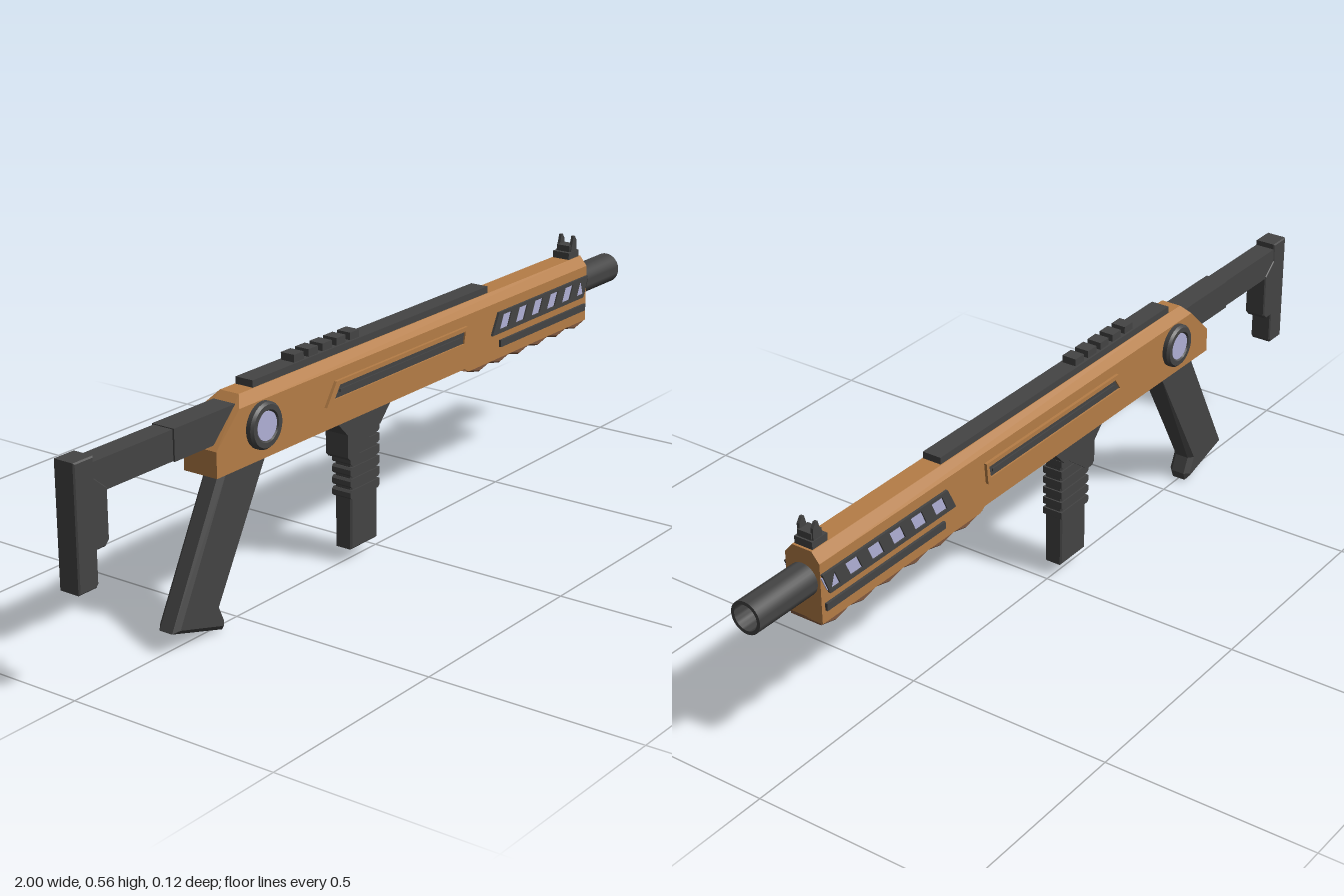
import * as THREE from 'three';
import { toCreasedNormals } from 'three/addons/utils/BufferGeometryUtils.js';

const mat = (name, color) => Object.assign(new THREE.MeshStandardMaterial({ color }), { name });

export function createModel() {
  const tan = mat('tan shell', 0xb57d46);
  const dark = mat('dark polymer', 0x444444);
  const glow = mat('pale lavender', 0xb0b0d6);
  const brown = mat('brown underside', 0x80583f);
  const model = new THREE.Group();
  model.name = 'model';

  const add = (name, geometry, material) => {
    const mesh = new THREE.Mesh(geometry, material);
    mesh.name = name;
    model.add(mesh);
    return mesh;
  };
  const shapeOf = pts => new THREE.Shape(pts.map(p => new THREE.Vector2(...p)));

  // Side profile extruded from z0 to z1, with optional chamfer and holes
  const slab = (name, pts, z0, z1, material, bevel = 0, holes = []) => {
    const shape = shapeOf(pts);
    shape.holes = holes.map(h => new THREE.Path(h.map(p => new THREE.Vector2(...p))));
    const g = new THREE.ExtrudeGeometry(shape, {
      depth: z1 - z0 - 2 * bevel, bevelEnabled: bevel > 0, bevelSegments: 1,
      bevelSize: bevel, bevelThickness: bevel, bevelOffset: -bevel,
    });
    return add(name, g.translate(0, 0, z0 + bevel), material);
  };
  const centred = (name, pts, half, material, bevel) => slab(name, pts, -half, half, material, bevel);
  const bothSides = (name, pts, z0, z1, material, holes) => {
    slab(name + 'Left', pts, z0, z1, material, 0, holes);
    slab(name + 'Right', pts, -z1, -z0, material, 0, holes);
  };
  const rect = (x0, x1, y0, y1) => [[x0, y0], [x1, y0], [x1, y1], [x0, y1]];

  // Profiles joined from one z to the next, with flat caps
  const loft = sections => {
    const v = [], n = sections[0][1].length;
    const at = (s, i) => [...sections[s][1][i % n], sections[s][0]];
    for (let s = 0; s < sections.length - 1; s++)
      for (let i = 0; i < n; i++)
        v.push(...at(s, i), ...at(s, i + 1), ...at(s + 1, i + 1),
          ...at(s, i), ...at(s + 1, i + 1), ...at(s + 1, i));
    const last = sections.length - 1;
    for (let i = 1; i < n - 1; i++) {
      v.push(...at(0, 0), ...at(0, i + 1), ...at(0, i));
      v.push(...at(last, 0), ...at(last, i), ...at(last, i + 1));
    }
    const g = new THREE.BufferGeometry();
    g.setAttribute('position', new THREE.Float32BufferAttribute(v, 3));
    g.computeVertexNormals();
    return g;
  };

  // Main shell: sloped rear, chamfered top edges
  const low = [[-0.605, 0.357], [0.83, 0.357], [0.83, 0.487], [-0.53, 0.487], [-0.605, 0.415]];
  const high = [[-0.605, 0.357], [0.83, 0.357], [0.83, 0.51], [-0.508, 0.51], [-0.605, 0.415]];
  add('body', loft([[-0.044, low], [-0.025, high], [0.025, high], [0.044, low]]), tan);
  centred('forendLip', [[0.31, 0.347], [0.83, 0.347], [0.83, 0.358], [0.29, 0.358]], 0.044, tan);

  // Wavy hand guard underside
  const wave = [[0.83, 0.35], [0.295, 0.35]];
  for (let i = 0; i <= 24; i++)
    wave.push([0.315 + i * 0.515 / 24, 0.338 + 0.005 * Math.cos(i * Math.PI / 2)]);
  centred('forendUnderside', wave, 0.043, brown, 0.004);

  // Barrel with open muzzle
  const lathe = (pts, seg) => toCreasedNormals(
    new THREE.LatheGeometry(pts.map(p => new THREE.Vector2(...p)), seg), 0.6);
  add('barrel', lathe([[0.037, 0.8], [0.037, 1], [0.029, 1], [0.029, 0.93], [0, 0.93]], 32)
    .rotateZ(-Math.PI / 2).translate(0, 0.438, 0), dark);

  // Top rail with raised teeth
  centred('topRail', rect(-0.46, 0.415, 0.505, 0.526), 0.023, dark);
  for (let i = 0; i < 5; i++) {
    const x = -0.315 + i * 0.0493;
    centred('railTooth', rect(x, x + 0.033, 0.524, 0.543), 0.018, dark);
  }

  // Front sight with two prongs
  centred('sightBase', rect(0.778, 0.824, 0.505, 0.527), 0.023, dark);
  centred('sightBlock', rect(0.788, 0.82, 0.525, 0.542), 0.018, dark);
  bothSides('sightProng', [[0.79, 0.525], [0.818, 0.525], [0.816, 0.553], [0.808, 0.565], [0.802, 0.565]],
    0.014, 0.021, dark);

  // Side pivots with pale centre discs
  for (const [side, s] of [['Left', 1], ['Right', -1]]) {
    const place = g => g.rotateX(s * Math.PI / 2).translate(-0.458, 0.433, 0);
    add('pivotRing' + side, place(lathe(
      [[0.052, 0.035], [0.052, 0.055], [0.047, 0.061], [0.036, 0.061], [0.033, 0.056], [0, 0.056]], 28)), dark);
    add('pivotDisc' + side, place(new THREE.CylinderGeometry(0.032, 0.032, 0.003, 28).translate(0, 0.057, 0)), glow);
  }

  // Middle side frame with a dark slot
  const slot = [[-0.218, 0.423], [0.278, 0.423], [0.284, 0.452], [-0.198, 0.452]];
  bothSides('sideFrame', [[-0.245, 0.411], [0.288, 0.411], [0.293, 0.462], [-0.21, 0.462]],
    0.043, 0.051, tan, [slot]);
  bothSides('sideSlot', slot, 0.043, 0.047, dark);
  bothSides('sideSlotRib', rect(-0.195, 0.27, 0.434, 0.441), 0.046, 0.05, dark);

  // Slanted vents over pale panels
  const vents = [];
  for (let i = 0; i < 6; i++) {
    const x = 0.43 + i * 0.0695;
    vents.push([[x, 0.42], [x + 0.036, 0.42], [x + 0.052, 0.455], [x + 0.016, 0.455]]);
  }
  bothSides('ventPanel', [[0.4, 0.411], [0.808, 0.411], [0.829, 0.463], [0.427, 0.463]], 0.043, 0.05, dark, vents);
  for (const v of vents) bothSides('ventGlow', v, 0.043, 0.0465, glow);
  bothSides('lowerBar', rect(0.437, 0.82, 0.375, 0.392), 0.043, 0.05, dark);

  // Stock: arm and stepped butt plate
  centred('stockArm', rect(-0.97, -0.45, 0.425, 0.492), 0.025, dark);
  centred('stockSleeve', rect(-0.715, -0.46, 0.424, 0.494), 0.029, dark);
  centred('buttPlate', [[-1, 0.232], [-0.95, 0.232], [-0.944, 0.24], [-0.944, 0.31], [-0.92, 0.31],
    [-0.909, 0.322], [-0.909, 0.43], [-0.945, 0.46], [-0.945, 0.505], [-1, 0.505]], 0.027, dark, 0.003);

  // Raked rear grip
  centred('rearGrip', [[-0.727, 0.048], [-0.569, 0.002], [-0.563, 0.022], [-0.58, 0.06],
    [-0.41, 0.37], [-0.56, 0.37]], 0.028, dark, 0.011);

  // Ribbed front grip and its mount
  centred('frontGripMount', [[-0.187, 0.358], [-0.144, 0.315], [-0.144, 0.262], [-0.135, 0.253],
    [-0.115, 0.253], [-0.04, 0.31], [-0.024, 0.31], [0.022, 0.358]], 0.031, dark);
  centred('frontGrip', rect(-0.122, -0.024, 0.034, 0.34), 0.023, dark, 0.004);
  for (let i = 0; i < 6; i++) {
    const y = 0.157 + i * 0.027;
    centred('gripRib', [[-0.124, y], [-0.026, y], [-0.02, y + 0.005], [-0.02, y + 0.021],
      [-0.124, y + 0.021], [-0.129, y + 0.016], [-0.129, y + 0.005]], 0.026, dark);
  }
  return model;
}
